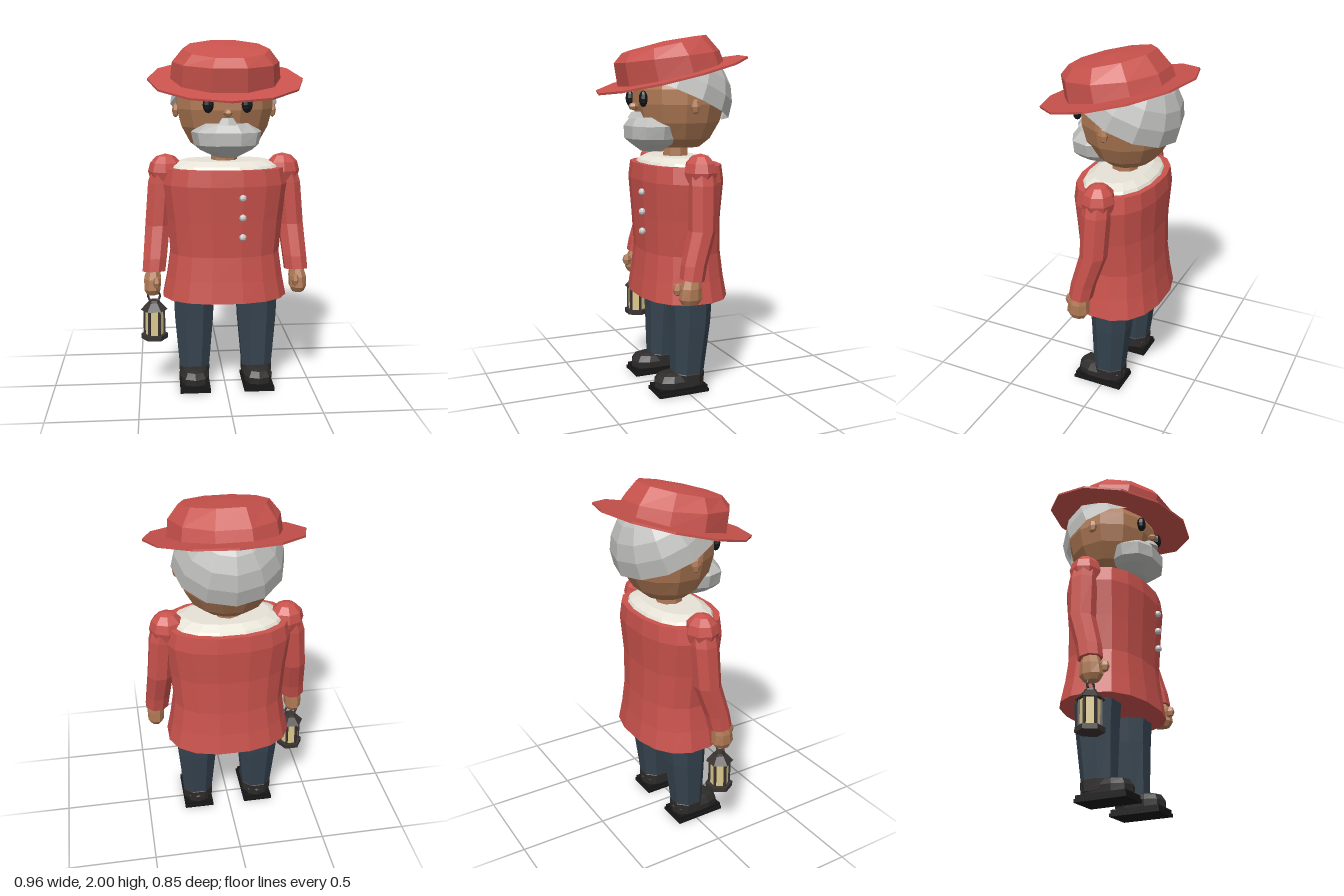
import * as THREE from 'three';

const colors = {
  red: 0xc9524c, cream: 0xe6e2d6, skin: 0xb07a55, grey: 0xbdbdbb, navy: 0x35434f,
  shoe: 0x2e2c2b, sole: 0x161616, black: 0x14161a, iron: 0x3a3332, glow: 0xdcc98c, metal: 0xcccccc,
};
const mats = {};
for (const k in colors) {
  mats[k] = new THREE.MeshStandardMaterial({ color: colors[k], flatShading: true, side: THREE.DoubleSide });
}

function add(parent, name, geometry, mat, x = 0, y = 0, z = 0) {
  const m = new THREE.Mesh(geometry, mats[mat]);
  m.name = name;
  m.position.set(x, y, z);
  parent.add(m);
  return m;
}

// Closed skin over horizontal rings [cx, y, cz, rx, rz, tilt], listed from bottom to top
function loft(rings, n, phase = 0, power = 1) {
  const pos = [], idx = [];
  const bend = v => Math.sign(v) * Math.abs(v) ** power;
  for (const [cx, y, cz, rx, rz, tilt = 0] of rings) {
    for (let j = 0; j < n; j++) {
      const a = phase + (j / n) * Math.PI * 2;
      const dz = rz * bend(Math.sin(a));
      pos.push(cx + rx * bend(Math.cos(a)), y + tilt * dz, cz + dz);
    }
  }
  const last = rings.length - 1, bottom = rings.length * n, top = bottom + 1;
  for (const r of [rings[0], rings[last]]) pos.push(r[0], r[1], r[2]);
  for (let j = 0; j < n; j++) {
    const k = (j + 1) % n;
    for (let i = 0; i < last; i++) {
      const a = i * n + j, b = i * n + k;
      idx.push(a, a + n, b, b, a + n, b + n);
    }
    idx.push(bottom, j, k, top, last * n + k, last * n + j);
  }
  const g = new THREE.BufferGeometry();
  g.setAttribute('position', new THREE.Float32BufferAttribute(pos, 3));
  g.setIndex(idx);
  const flat = g.toNonIndexed();
  flat.computeVertexNormals();
  return flat;
}

function ball(parent, name, mat, x, y, z, rx, ry, rz, w = 8, h = 6) {
  add(parent, name, new THREE.SphereGeometry(1, w, h), mat, x, y, z).scale.set(rx, ry, rz);
}

function makeHead() {
  const head = new THREE.Group();
  head.name = 'head';
  add(head, 'neck', new THREE.CylinderGeometry(0.07, 0.078, 0.14, 8), 'skin', 0, 1.35, -0.03);
  add(head, 'face', loft([
    [0, 1.38, -0.05, 0.13, 0.12], [0, 1.43, -0.05, 0.2, 0.18], [0, 1.52, -0.05, 0.25, 0.235],
    [0, 1.62, -0.05, 0.277, 0.26], [0, 1.7, -0.05, 0.277, 0.26], [0, 1.8, -0.05, 0.23, 0.22],
    [0, 1.87, -0.05, 0.11, 0.1],
  ], 12, Math.PI / 12), 'skin');
  // Hair is a half shell tipped towards the back
  const hair = add(head, 'hair', new THREE.SphereGeometry(0.295, 12, 5, 0, Math.PI * 2, 0, Math.PI / 2),
    'grey', 0, 1.645, -0.055);
  hair.rotation.x = -0.42;
  hair.scale.x = 1.03;
  for (const s of [-1, 1]) {
    ball(head, 'ear', 'skin', s * 0.275, 1.61, -0.03, 0.02, 0.042, 0.03, 6, 4);
    ball(head, 'eye', 'black', s * 0.105, 1.65, 0.205, 0.03, 0.045, 0.025);
  }
  ball(head, 'nose', 'skin', 0, 1.607, 0.222, 0.026, 0.022, 0.03, 6, 4);
  add(head, 'moustache', new THREE.CylinderGeometry(0.035, 0.06, 0.035, 6), 'grey', 0, 1.56, 0.2);
  add(head, 'beard', loft([
    [0, 1.36, 0.115, 0.06, 0.06], [0, 1.4, 0.115, 0.145, 0.11], [0, 1.43, 0.115, 0.18, 0.145],
    [0, 1.5, 0.115, 0.195, 0.147], [0, 1.548, 0.1, 0.13, 0.13],
  ], 10, 0, 0.85), 'grey');
  return head;
}

function makeHat() {
  const hat = new THREE.Group();
  hat.name = 'hat';
  hat.position.set(0.005, 1.78, 0);
  hat.rotation.x = 0.247;
  add(hat, 'brim', loft([[0, -0.005, 0, 0.436, 0.438], [0, 0.006, 0, 0.436, 0.438]], 12), 'red');
  add(hat, 'crown', loft([
    [0, 0, 0, 0.31, 0.305], [0, 0.1, 0, 0.298, 0.295, 0.12],
    [0, 0.172, 0, 0.24, 0.24, 0.02], [0, 0.187, 0, 0.01, 0.01],
  ], 10), 'red');
  return hat;
}

function makeTorso() {
  const torso = new THREE.Group();
  torso.name = 'torso';
  add(torso, 'coat', loft([
    [0, 0.54, -0.035, 0.362, 0.255], [0, 0.66, -0.033, 0.338, 0.236], [0, 0.8, -0.033, 0.318, 0.22],
    [0, 1.0, -0.025, 0.335, 0.222], [0, 1.2, -0.025, 0.362, 0.235], [0, 1.29, -0.025, 0.345, 0.225],
  ], 16, Math.PI / 16, 0.85), 'red');
  add(torso, 'collar', loft([
    [0, 1.28, -0.025, 0.32, 0.2], [0, 1.305, -0.025, 0.3, 0.185], [0, 1.33, -0.025, 0.24, 0.14],
  ], 16, Math.PI / 16, 0.9), 'cream');
  for (const y of [0.92, 1.03, 1.14]) ball(torso, 'button', 'metal', 0.085, y, 0.208, 0.02, 0.02, 0.02);
  return torso;
}

// Arm for side s: +1 is the left, -1 the right
function makeArm(s) {
  const arm = new THREE.Group();
  arm.name = s > 0 ? 'leftArm' : 'rightArm';
  ball(arm, 'shoulder', 'red', s * 0.335, 1.265, -0.03, 0.1, 0.1, 0.092, 8, 6);
  add(arm, 'sleeve', loft([
    [s * 0.41, 0.7, 0.05, 0.07, 0.066, 0.12], [s * 0.402, 0.78, 0.035, 0.072, 0.07],
    [s * 0.385, 0.96, -0.02, 0.076, 0.076], [s * 0.365, 1.2, -0.03, 0.077, 0.08],
    [s * 0.345, 1.29, -0.03, 0.07, 0.075],
  ], 8, Math.PI / 8), 'red');
  add(arm, 'hand', loft([
    [s * 0.42, 0.57, 0.065, 0.035, 0.045], [s * 0.42, 0.6, 0.063, 0.05, 0.066],
    [s * 0.418, 0.66, 0.06, 0.052, 0.06], [s * 0.412, 0.72, 0.05, 0.038, 0.045],
  ], 8, Math.PI / 8), 'skin');
  ball(arm, 'thumb', 'skin', s * 0.395, 0.65, 0.125, 0.022, 0.036, 0.03, 6, 4);
  return arm;
}

function makeLeg(s) {
  const leg = new THREE.Group();
  leg.name = s > 0 ? 'leftLeg' : 'rightLeg';
  leg.position.x = 0.005 + s * 0.185;
  add(leg, 'trouser', loft([
    [0, 0.06, -0.018, 0.088, 0.09], [0, 0.4, -0.035, 0.119, 0.115], [0, 0.58, -0.035, 0.127, 0.125],
  ], 8, Math.PI / 8, 0.9), 'navy');
  // Shoe: low toe, higher heel cup, two stacked soles
  add(leg, 'shoe', loft([
    [0, 0.035, 0.03, 0.082, 0.145], [0, 0.075, 0.03, 0.086, 0.148], [0, 0.108, 0.03, 0.066, 0.125],
    [0, 0.118, 0.02, 0.045, 0.1],
  ], 10, Math.PI / 10, 0.75), 'shoe');
  add(leg, 'shoeCuff', loft([
    [0, 0.05, -0.02, 0.092, 0.095], [0, 0.11, -0.02, 0.095, 0.098], [0, 0.12, -0.02, 0.088, 0.09],
  ], 8, Math.PI / 8, 0.9), 'shoe');
  add(leg, 'sole', new THREE.BoxGeometry(0.16, 0.018, 0.29), 'sole', 0, 0.029, 0.03);
  add(leg, 'outsole', new THREE.BoxGeometry(0.175, 0.018, 0.3), 'sole', 0, 0.009, 0.03);
  return leg;
}

function makeLantern() {
  const lantern = new THREE.Group();
  lantern.name = 'lantern';
  lantern.position.set(-0.412, 0.3, 0.055);
  const hex = (name, mat, rTop, rBottom, y0, y1) =>
    add(lantern, name, new THREE.CylinderGeometry(rTop, rBottom, y1 - y0, 6), mat, 0, (y0 + y1) / 2, 0)
      .rotation.y = Math.PI / 6;
  hex('base', 'iron', 0.077, 0.077, 0, 0.027);
  hex('glass', 'glow', 0.055, 0.055, 0.027, 0.175);
  hex('roof', 'iron', 0.038, 0.078, 0.172, 0.215);
  hex('cap', 'iron', 0.03, 0.036, 0.213, 0.228);
  for (let i = 0; i < 6; i++) {
    const a = (i / 6) * Math.PI * 2;
    add(lantern, 'post', new THREE.BoxGeometry(0.013, 0.15, 0.013), 'iron',
      0.056 * Math.cos(a), 0.1, 0.056 * Math.sin(a)).rotation.y = -a;
  }
  add(lantern, 'handle', new THREE.TorusGeometry(0.034, 0.007, 5, 10), 'iron', 0, 0.253, 0);
  return lantern;
}

export function createModel() {
  const model = new THREE.Group();
  model.name = 'lanternKeeper';
  model.add(makeHead(), makeHat(), makeTorso(), makeLantern());
  for (const s of [-1, 1]) model.add(makeArm(s), makeLeg(s));
  return model;
}
